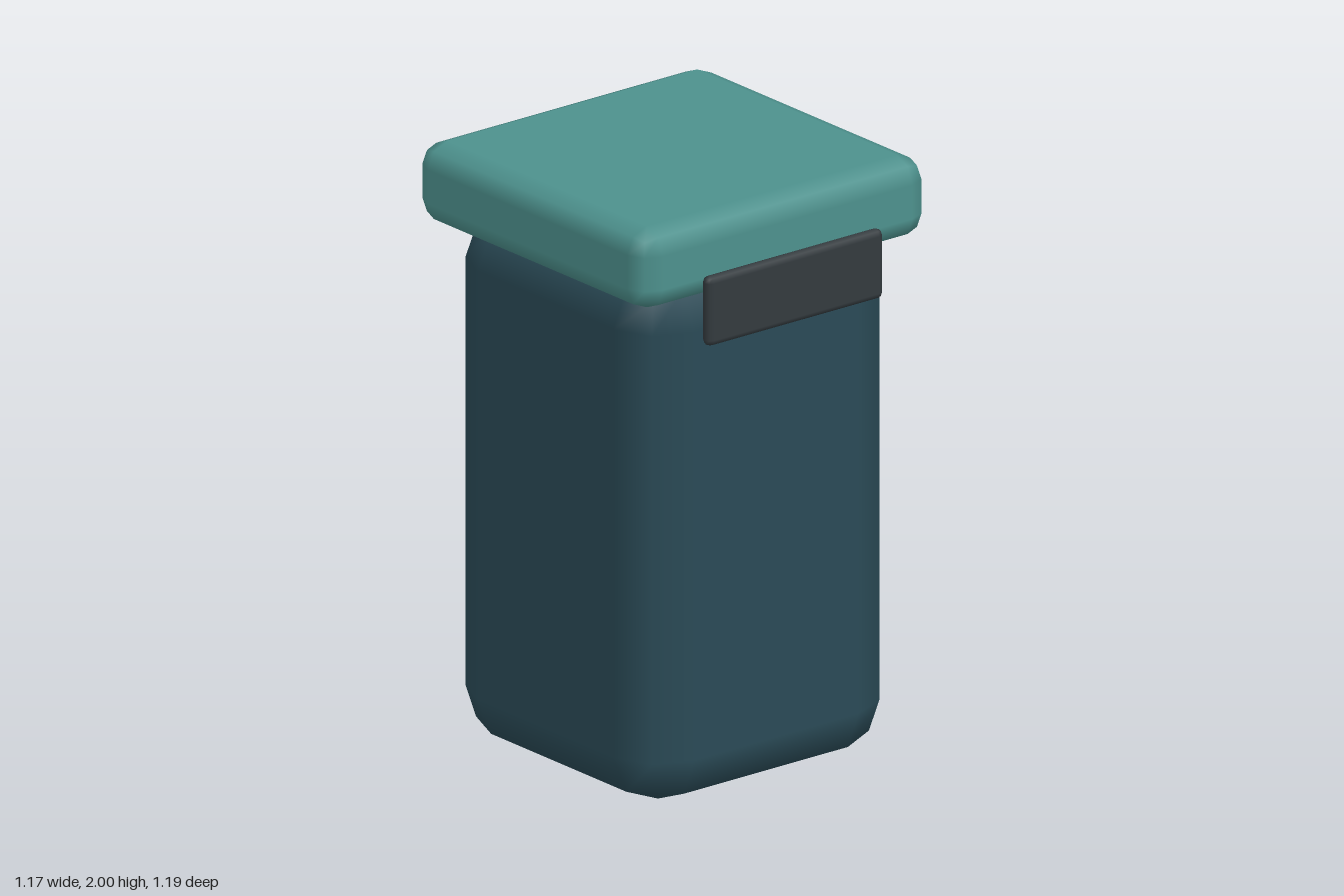
import * as THREE from 'three';
import { RoundedBoxGeometry } from 'three/addons/geometries/RoundedBoxGeometry.js';

// Softly shaded box with two-facet edges, placed by its centre
function roundedPart(name, size, radius, position, color) {
  const mesh = new THREE.Mesh(
    new RoundedBoxGeometry(...size, 1, radius),
    new THREE.MeshStandardMaterial({ color })
  );
  mesh.name = name;
  mesh.position.set(...position);
  return mesh;
}

export function createModel() {
  const bin = new THREE.Group();
  bin.name = 'bin';
  bin.add(
    // Tall container, its rounded top tucked up into the lid
    roundedPart('body', [1.024, 1.79, 1.03], 0.18, [0, 0.895, -0.022], 0x2a4a56),
    // Overhanging lid
    roundedPart('lid', [1.168, 0.272, 1.146], 0.08, [0, 1.864, -0.024], 0x4d918d),
    // Thin handle plate across the front of the lid
    roundedPart('handle', [0.712, 0.234, 0.044], 0.022, [0, 1.707, 0.573], 0x333a3e)
  );
  return bin;
}
